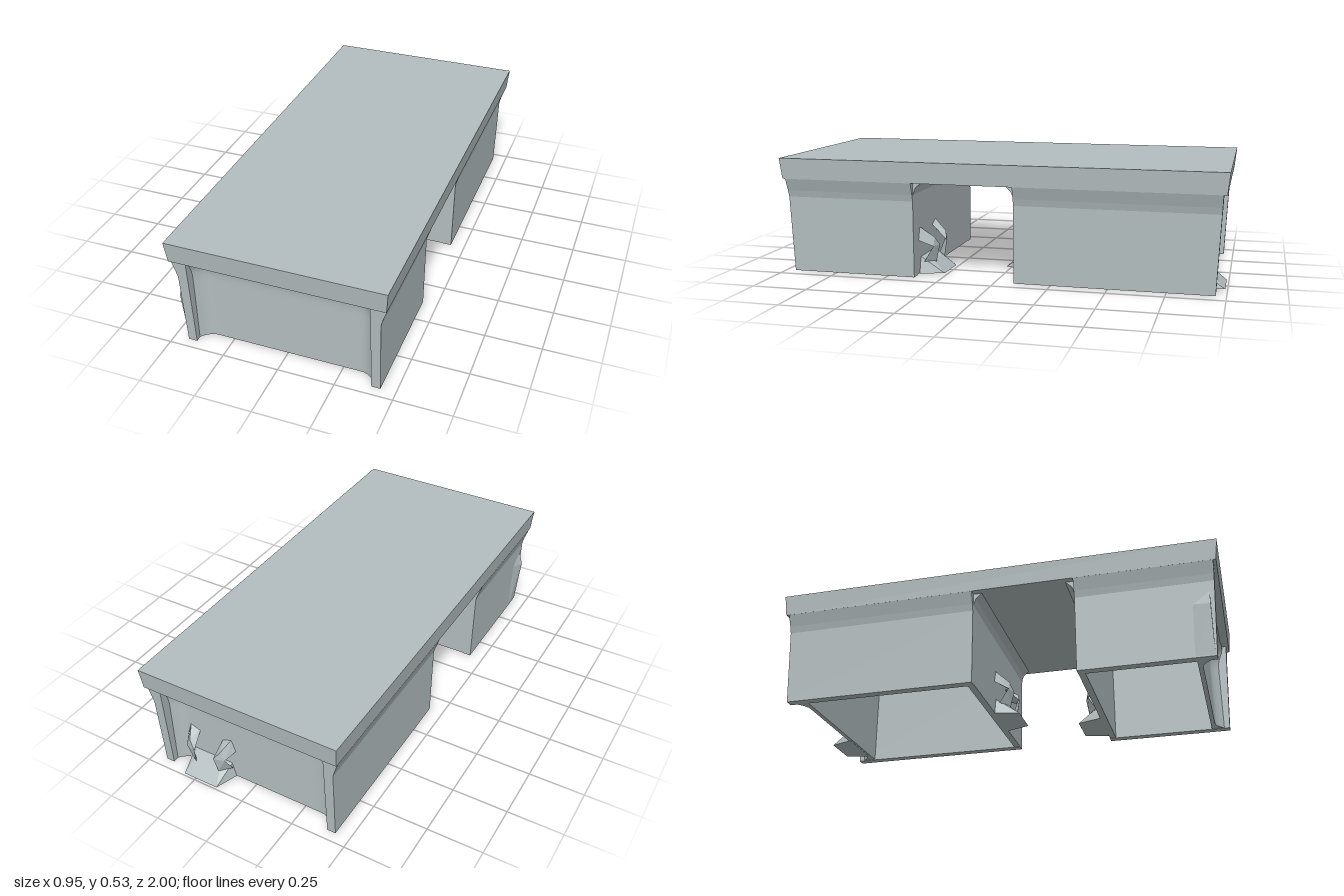
import * as THREE from 'three';
import { ConvexGeometry } from 'three/addons/geometries/ConvexGeometry.js';

const grey = new THREE.MeshStandardMaterial({ color: 0xb3bdbf, side: THREE.DoubleSide });
grey.name = 'paleGrey';

function add(group, geometry, name) {
  const mesh = new THREE.Mesh(geometry, grey);
  mesh.name = name;
  group.add(mesh);
  return mesh;
}

// Move every vertex by a rule and refresh the normals
function reshape(geometry, rule) {
  const p = geometry.attributes.position;
  const v = new THREE.Vector3();
  for (let i = 0; i < p.count; i++) {
    rule(v.fromBufferAttribute(p, i));
    p.setXYZ(i, v.x, v.y, v.z);
  }
  geometry.computeVertexNormals();
  return geometry;
}

function extrude(points, depth) {
  const shape = new THREE.Shape(points.map(([x, y]) => new THREE.Vector2(x, y)));
  return new THREE.ExtrudeGeometry(shape, { depth, bevelEnabled: false });
}

const hull = (points) => new ConvexGeometry(points.map((p) => new THREE.Vector3(...p)));

// Hollow pedestal, open below. dir is +1 when its outer end faces the front.
function pedestal(name, gapZ, endZ, dir) {
  const group = new THREE.Group();
  group.name = name;

  // Side walls flare under the top and lean outwards at the outer end
  const length = Math.abs(endZ - gapZ);
  for (const s of [-1, 1]) {
    const profile = [[0.395, 0.004], [0.434, 0.004], [0.438, 0.35], [0.446, 0.38], [0.465, 0.436], [0.395, 0.436]];
    const geo = extrude(profile.map(([x, y]) => [s * x, y]), length);
    geo.translate(0, 0, Math.min(gapZ, endZ));
    reshape(geo, (v) => {
      if (Math.abs(v.z - endZ) < 0.01) v.z += dir * 0.02 * (v.y / 0.43);
    });
    add(group, geo, s > 0 ? 'leftWall' : 'rightWall');
  }

  // Wall beside the opening, with a cove under the top
  const cove = [[0.03, 0.006], [0, 0.006], [0, 0.38], [-0.012, 0.41], [-0.04, 0.436], [0.03, 0.436]];
  const gap = extrude(cove.map(([d, y]) => [-(gapZ + dir * d), y]), 0.868);
  gap.rotateY(Math.PI / 2).translate(-0.434, 0, 0);
  add(group, gap, 'openingWall');

  // Recessed end panel, dished towards its sides and top
  const panel = new THREE.BoxGeometry(0.8, 0.43, 0.02, 40, 24, 1);
  panel.translate(0, 0.221, 0);
  reshape(panel, (v) => {
    const side = Math.max(0, (Math.abs(v.x) - 0.33) / 0.07);
    const top = Math.max(0, (v.y - 0.3) / 0.136);
    if (v.z * dir > 0) v.z += dir * Math.min(0.065, 0.045 * side ** 2 + 0.06 * top ** 3);
    v.z += endZ - dir * 0.075;
  });
  add(group, panel, 'endPanel');
  return group;
}

// Jagged scrap standing against a wall: a wedge foot with a bent strut on each side
function scrap(name, x, z, dir) {
  const group = new THREE.Group();
  group.name = name;
  add(group, hull([
    [-0.12, 0.005, 0], [0.12, 0.005, 0], [-0.09, 0.005, 0.11], [0.08, 0.005, 0.11],
    [-0.1, 0.08, 0], [0.1, 0.08, 0], [-0.07, 0.06, 0.05], [0.06, 0.06, 0.05],
  ]), 'foot');
  for (const s of [-1, 1]) {
    add(group, hull([
      [s * 0.11, 0.22, 0], [s * 0.06, 0.2, 0], [s * 0.13, 0.16, 0],
      [s * 0.08, 0.17, 0.06], [s * 0.05, 0.13, 0.075], [s * 0.1, 0.13, 0.06],
    ]), 'upperStrut');
    add(group, hull([
      [s * 0.05, 0.13, 0.075], [s * 0.1, 0.13, 0.06], [s * 0.07, 0.15, 0.065],
      [s * 0.07, 0.05, 0.045], [s * 0.11, 0.06, 0.02], [s * 0.06, 0.05, 0.06],
    ]), 'lowerStrut');
  }
  group.position.set(x, 0, z);
  if (dir < 0) group.rotation.y = Math.PI;
  return group;
}

export function createModel() {
  const model = new THREE.Group();
  model.name = 'desk';

  // Top slab, slightly narrower underneath
  const slab = new THREE.BoxGeometry(0.946, 0.095, 2);
  slab.translate(0, 0.4825, 0);
  reshape(slab, (v) => {
    if (v.y < 0.48) {
      v.x *= 0.983;
      v.z *= 0.99;
    }
  });
  add(model, slab, 'top');

  model.add(pedestal('frontPedestal', 0.375, 0.957, 1));
  model.add(pedestal('backPedestal', -0.085, -0.955, -1));

  // Scraps in the opening and against the back panel
  model.add(scrap('frontPedestalScrap', 0.24, 0.375, -1));
  model.add(scrap('backPedestalScrap', 0.05, -0.085, 1));
  model.add(scrap('backEndScrap', 0.22, -0.88, -1));

  // Thin swelling on the right wall near the front corner
  add(model, hull([
    [-0.435, 0.31, 0.95], [-0.435, 0.01, 0.95], [-0.435, 0.25, 0.87],
    [-0.435, 0.01, 0.87], [-0.456, 0.235, 0.95], [-0.42, 0.2, 0.94],
  ]), 'wallSwelling');
  return model;
}
